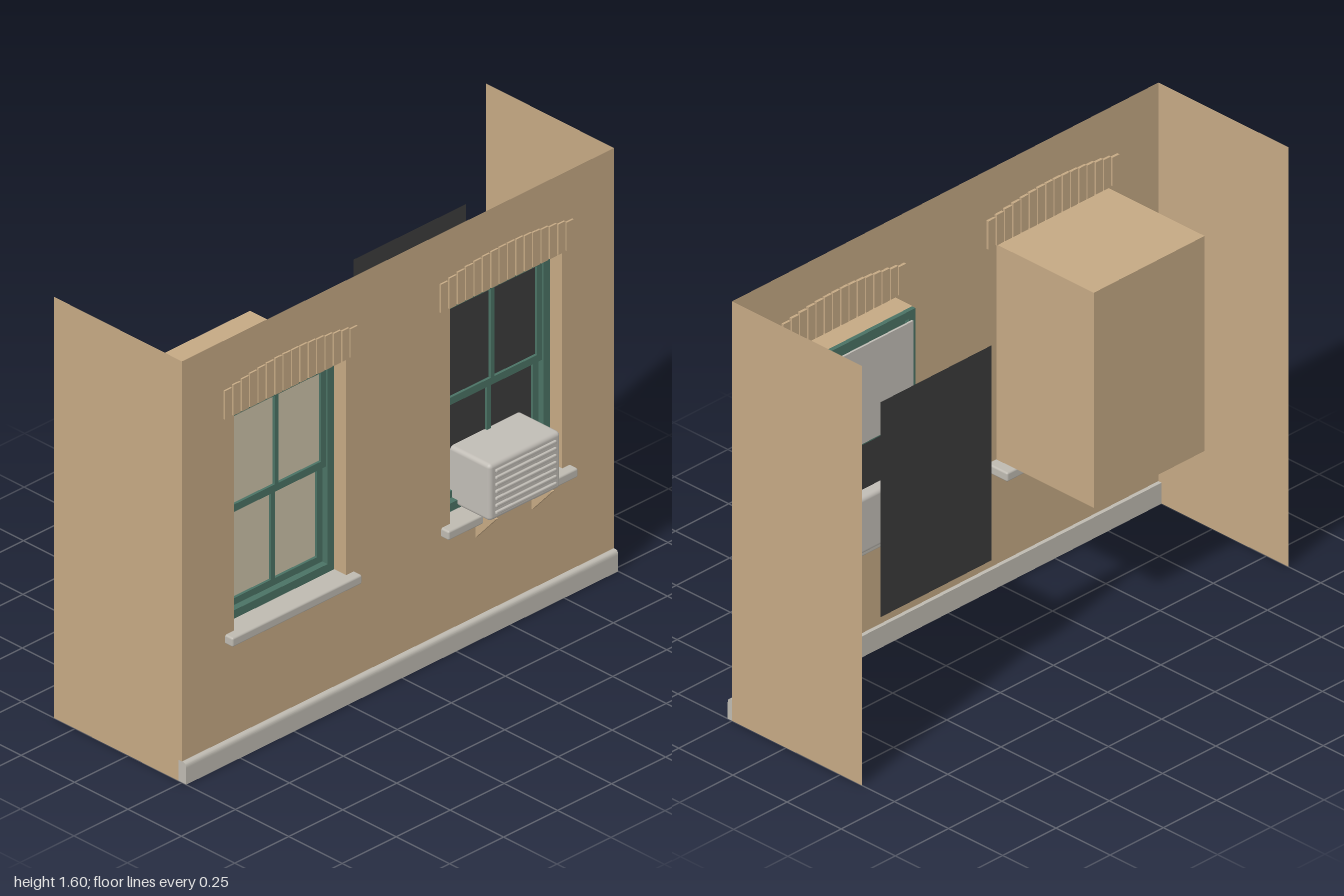
import * as THREE from 'three';
import { RoundedBoxGeometry } from 'three/addons/geometries/RoundedBoxGeometry.js';

const mat = (name, color, side = THREE.FrontSide) => {
  const m = new THREE.MeshStandardMaterial({ color, side });
  m.name = name;
  return m;
};

export function createModel() {
  const tan = mat('tan wall', 0xc4a883, THREE.DoubleSide);
  const stone = mat('grey stone', 0xbdb9b0);
  const green = mat('green paint', 0x4a7264);
  const dark = mat('dark glass', 0x3b3b3b, THREE.DoubleSide);
  const cream = mat('cream blind', 0xcbc1a8, THREE.DoubleSide);
  const metal = mat('light grey metal', 0xc0bcb5);

  const model = new THREE.Group();
  model.name = 'facade';

  const add = (parent, name, geo, material) => {
    const m = new THREE.Mesh(geo, material);
    m.name = name;
    parent.add(m);
    return m;
  };
  // Box from its minimum and maximum on each axis; radius > 0 rounds it
  const box = (parent, name, material, [x0, x1], [y0, y1], [z0, z1], r = 0) => {
    const s = [x1 - x0, y1 - y0, z1 - z0];
    const geo = r ? new RoundedBoxGeometry(...s, 3, r) : new THREE.BoxGeometry(...s);
    add(parent, name, geo, material).position.set((x0 + x1) / 2, (y0 + y1) / 2, (z0 + z1) / 2);
  };
  const plane = (parent, name, material, w, h, pos, rx = 0, ry = 0) => {
    const m = add(parent, name, new THREE.PlaneGeometry(w, h), material);
    m.position.set(...pos);
    m.rotation.set(rx, ry, 0);
  };

  // Front wall sheet with two window openings
  const rect = (P, x0, x1, y0, y1) => new P([[x0, y0], [x1, y0], [x1, y1], [x0, y1]]
    .map(p => new THREE.Vector2(...p)));
  const wall = rect(THREE.Shape, -1, 1, 0, 1.6);
  for (const c of [-0.5, 0.5]) wall.holes.push(rect(THREE.Path, c - 0.26, c + 0.26, 0.48, 1.3));
  add(model, 'frontWall', new THREE.ShapeGeometry(wall), tan).position.z = 0.25;

  // Side walls
  for (const s of [-1, 1]) {
    plane(model, 'sideWall', tan, 0.6, 1.6, [s, 0.8, -0.05], 0, s * Math.PI / 2);
  }

  // Plinth with a rounded front top edge
  const p = new THREE.Shape();
  p.moveTo(-0.235, 0);
  p.lineTo(-0.235, 0.08);
  p.lineTo(-0.255, 0.08);
  p.quadraticCurveTo(-0.27, 0.08, -0.27, 0.062);
  p.lineTo(-0.27, 0);
  const plinth = add(model, 'plinth', new THREE.ExtrudeGeometry(p, { depth: 2, bevelEnabled: false }), stone);
  plinth.rotation.y = Math.PI / 2;
  plinth.position.x = -1;

  // Sash: four rails, a middle bar and its pane
  const sash = (parent, name, y0, y1, z, glass) => {
    const g = new THREE.Group();
    g.name = name;
    parent.add(g);
    const d = [z - 0.01, z + 0.01];
    for (const s of [-1, 1]) {
      box(g, 'sashStile', green, [s * 0.2175 - 0.0125, s * 0.2175 + 0.0125], [y0, y1], d);
    }
    box(g, 'topRail', green, [-0.205, 0.205], [y1 - 0.025, y1], d);
    box(g, 'bottomRail', green, [-0.205, 0.205], [y0, y0 + 0.028], d);
    box(g, 'glazingBar', green, [-0.009, 0.009], [y0 + 0.028, y1 - 0.025], d);
    plane(g, 'pane', glass, 0.41, y1 - y0 - 0.05, [0, (y0 + y1) / 2, z]);
  };

  // Window: sill, arch, reveal, frame and two sashes
  const makeWindow = (name, cx, glass, back) => {
    const w = new THREE.Group();
    w.name = name;
    w.position.x = cx;
    model.add(w);

    box(w, 'sill', stone, [-0.3, 0.3], [0.445, 0.48], [0.16, 0.285], 0.007);

    // Row of upright bricks whose tops follow a shallow arc
    const n = 16, step = 0.62 / n;
    for (let i = 0; i < n; i++) {
      const x = (i - (n - 1) / 2) * step;
      const top = 1.442 - 0.035 * (x / 0.31) ** 2;
      box(w, 'archBrick', tan, [x - 0.0165, x + 0.0165], [1.303, top], [0.24, 0.257]);
    }

    // Reveal, running on backwards to the given depth
    const depth = 0.25 - back, mid = (0.25 + back) / 2;
    plane(w, 'revealTop', tan, 0.52, depth, [0, 1.3, mid], -Math.PI / 2);
    for (const s of [-1, 1]) {
      plane(w, 'revealSide', tan, depth, 0.82, [s * 0.26, 0.89, mid], 0, s * Math.PI / 2);
    }

    // Frame
    const d = [0.15, 0.195];
    for (const s of [-1, 1]) {
      box(w, 'frameJamb', green, [s * 0.244 - 0.015, s * 0.244 + 0.015], [0.48, 1.299], d);
    }
    box(w, 'frameHead', green, [-0.23, 0.23], [1.27, 1.299], d);
    box(w, 'frameFoot', green, [-0.23, 0.23], [0.48, 0.512], d);
    sash(w, 'upperSash', 0.88, 1.27, 0.178, glass);
    sash(w, 'lowerSash', 0.51, 0.905, 0.16, glass);
    return w;
  };

  // Window with blinds and a closed room box behind it
  const blindWindow = makeWindow('blindWindow', -0.5, cream, -0.2);
  plane(blindWindow, 'roomBack', tan, 0.52, 0.82, [0, 0.89, -0.2], 0, Math.PI);
  plane(blindWindow, 'roomFloor', dark, 0.52, 0.36, [0, 0.48, -0.02], Math.PI / 2);

  // Dark window with a half-drawn shade inside and a panel standing behind it
  const darkWindow = makeWindow('darkWindow', 0.5, dark, 0.165);
  box(darkWindow, 'shade', metal, [-0.23, 0.23], [0.9, 1.27], [0.131, 0.139]);
  plane(darkWindow, 'backPanel', dark, 0.52, 0.82, [0, 0.89, -0.2], 0, Math.PI);

  // Air conditioner
  const ac = new THREE.Group();
  ac.name = 'airConditioner';
  ac.position.x = 0.495;
  model.add(ac);
  box(ac, 'body', metal, [-0.165, 0.165], [0.487, 0.702], [0.118, 0.346], 0.015);
  for (let i = 0; i < 7; i++) {
    const y = 0.515 + i * 0.0265;
    box(ac, 'louvre', metal, [-0.14, 0.14], [y - 0.006, y + 0.006], [0.338, 0.354], 0.004);
  }

  // Triangular support brackets
  const tri = new THREE.Shape([[-0.25, 0.38], [-0.25, 0.487], [-0.345, 0.487]]
    .map(q => new THREE.Vector2(...q)));
  for (const s of [-1, 1]) {
    const b = add(ac, 'bracket', new THREE.ExtrudeGeometry(tri, { depth: 0.012, bevelEnabled: false }), tan);
    b.rotation.y = Math.PI / 2;
    b.position.x = s * 0.13 - 0.006;
  }

  return model;
}
